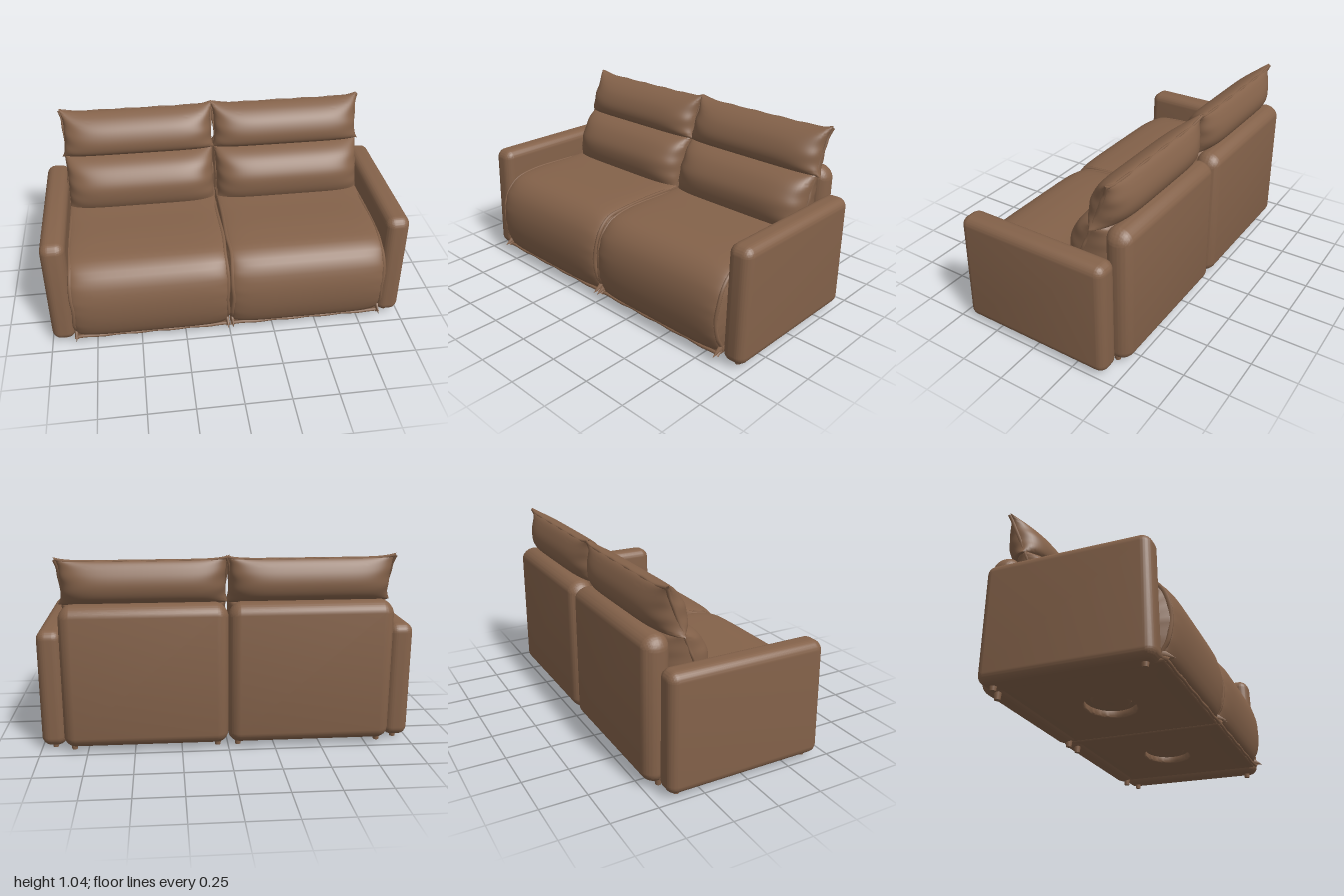
import * as THREE from 'three';
import { toCreasedNormals } from 'three/addons/utils/BufferGeometryUtils.js';
import { RoundedBoxGeometry } from 'three/addons/geometries/RoundedBoxGeometry.js';

const leather = new THREE.MeshStandardMaterial({ color: 0x84624a });
leather.name = 'brownLeather';

function add(parent, name, geometry, x = 0, y = 0, z = 0) {
  const mesh = new THREE.Mesh(geometry, leather);
  mesh.name = name;
  mesh.position.set(x, y, z);
  parent.add(mesh);
  return mesh;
}

// Moves every vertex by a rule
function bend(geometry, rule) {
  const pos = geometry.attributes.position;
  const v = new THREE.Vector3();
  for (let i = 0; i < pos.count; i++) {
    rule(v.fromBufferAttribute(pos, i));
    pos.setXYZ(i, v.x, v.y, v.z);
  }
  return toCreasedNormals(geometry, 0.8);
}

// Lofts a closed [z, y] profile over s = -1..1; shape(z, y, s, full) returns [x, y, z]
function cushion(profile, shape, steps = 44, around = 72) {
  const curve = new THREE.CatmullRomCurve3(profile.map(([z, y]) => new THREE.Vector3(0, y, z)), true);
  const ring = curve.getSpacedPoints(around);
  const position = [], index = [];
  for (let i = 0; i <= steps; i++) {
    const s = -Math.cos((Math.PI * i) / steps);
    const full = Math.sqrt(Math.max(0, 1 - Math.abs(s) ** 6));
    for (const p of ring) position.push(...shape(p.z, p.y, s, full));
  }
  const row = around + 1;
  for (let i = 0; i < steps; i++) {
    for (let j = 0; j < around; j++) {
      const a = i * row + j, b = a + row;
      index.push(a, b, a + 1, b, b + 1, a + 1);
    }
  }
  const geometry = new THREE.BufferGeometry();
  geometry.setAttribute('position', new THREE.Float32BufferAttribute(position, 3));
  geometry.setIndex(index);
  return toCreasedNormals(geometry, 0.8);
}

function piping(points, radius) {
  const curve = new THREE.CatmullRomCurve3(points.map((p) => new THREE.Vector3(...p)));
  return new THREE.TubeGeometry(curve, 80, radius, 6);
}

const seatProfile = [
  [0.40, 0.05], [0.46, 0.06], [0.495, 0.14], [0.508, 0.25], [0.497, 0.35], [0.46, 0.435],
  [0.385, 0.497], [0.25, 0.52], [0, 0.522], [-0.3, 0.51], [-0.37, 0.45], [-0.37, 0.14], [-0.3, 0.09], [0.3, 0.085],
];
const lowerProfile = [
  [-0.17, 0.46], [-0.11, 0.53], [-0.095, 0.6], [-0.105, 0.665], [-0.165, 0.745], [-0.24, 0.783],
  [-0.34, 0.792], [-0.41, 0.75], [-0.41, 0.5], [-0.30, 0.45],
];
const upperProfile = [
  [-0.28, 0.782], [-0.235, 0.81], [-0.225, 0.865], [-0.26, 0.945], [-0.33, 1.0], [-0.40, 1.013],
  [-0.445, 0.95], [-0.46, 0.88], [-0.44, 0.82], [-0.38, 0.78],
];

const seamZ = (y) => -0.25 - 0.405 * (y - 0.66);
const wrinkle = (y, s) => 0.004 * Math.sin(y * 75 + s * 4) * Math.abs(s) ** 8;

// Back pillows pinch to a slanted side seam, with flared corners
function pillowShape(y0, y1, flare, lift) {
  return (z, y, s, full) => {
    const v = (2 * (y - y0)) / (y1 - y0) - 1;
    const half = 0.426 + flare * v ** 4;
    const rise = lift * Math.abs(s) ** 8 * Math.max(0, v) ** 2;
    return [s * half, y + rise + wrinkle(y, s) * 0.4,
      THREE.MathUtils.lerp(seamZ(y), z, full) + wrinkle(y, s)];
  };
}

// Seat cushions round off towards an inset seam, then close across the side
function seatShape(z, y, s, full) {
  const edge = Math.abs(s) > 0.9999;
  const k = edge ? 0 : 0.915 + 0.085 * full;
  return [s * 0.43, 0.28 + (y - 0.28) * k, 0.06 + (z - 0.06) * k + (edge ? 0 : wrinkle(y, s))];
}

// Underside panel with an oval well
function basePanel() {
  const outline = new THREE.Shape();
  outline.moveTo(-0.415, -0.42).lineTo(0.415, -0.42).lineTo(0.415, 0.42).lineTo(-0.415, 0.42).closePath();
  const well = new THREE.Path();
  well.absellipse(0, 0, 0.17, 0.145, 0, Math.PI * 2, true);
  outline.holes.push(well);
  const geometry = new THREE.ExtrudeGeometry(outline, {
    depth: 0.03, bevelThickness: 0.012, bevelSize: 0.015, bevelSegments: 4, curveSegments: 32,
  });
  return toCreasedNormals(geometry.rotateX(-Math.PI / 2), 0.8);
}

function buildSection(side) {
  const section = new THREE.Group();
  section.name = side > 0 ? 'leftSection' : 'rightSection';
  section.position.x = side * 0.437;

  add(section, 'seatCushion', cushion(seatProfile, seatShape));
  add(section, 'lowerBackCushion', cushion(lowerProfile, pillowShape(0.45, 0.792, 0.008, 0)));
  add(section, 'upperBackCushion', cushion(upperProfile, pillowShape(0.78, 1.013, 0.02, 0.02)));

  // Padded back shell, bulging behind and sinking at its upper corners
  const shell = bend(new RoundedBoxGeometry(0.874, 0.782, 0.152, 8, 0.062), (v) => {
    const u = Math.abs(v.x) / 0.437, h = Math.abs(v.y) / 0.391;
    if (v.y > 0) v.y -= 0.03 * u ** 6 * h;
    if (v.z < 0) v.z += 0.01 * u ** 6 + 0.018 * h ** 5;
  });
  add(section, 'backShell', shell, 0, 0.417, -0.436);

  // Underside with a soft bulge inside the well
  add(section, 'basePanel', basePanel(), 0, 0.056, 0.01);
  const bulge = add(section, 'wellBulge', new THREE.SphereGeometry(0.12, 32, 16), 0, 0.085, 0.01);
  bulge.scale.set(1, 0.18, 0.85);

  // Piping along the side seams of seat and back, with a corner tab under the seat front
  for (const e of [-1, 1]) {
    const seat = seatProfile.slice(1, 10).map(([z, y], i) => [
      e * (0.423 + 0.004 * Math.sin(i * 2.3)), 0.28 + (y - 0.28) * 0.925, 0.06 + (z - 0.06) * 0.935]);
    add(section, 'seatPiping', piping([[e * 0.425, 0.05, 0.47], ...seat], 0.011));
    const back = [];
    for (let i = 0; i <= 12; i++) {
      const y = 0.48 + (0.545 * i) / 12;
      const flare = 0.02 * Math.max(0, (y - 0.88) / 0.14) ** 2;
      back.push([e * (0.423 + flare + 0.003 * Math.sin(i * 2.1)), y, seamZ(y)]);
    }
    add(section, 'backPiping', piping(back, 0.009));
    const tab = add(section, 'cornerTab', new THREE.ConeGeometry(0.025, 0.07, 8), e * 0.423, 0.068, 0.468);
    tab.rotation.x = 1.95;
    tab.scale.x = 0.5;
  }

  // Seams along the pillow top and the lower front edge
  const top = [], hem = [];
  for (let i = 0; i <= 16; i++) {
    const s = i / 8 - 1;
    top.push([s * 0.442, 1.008 + 0.018 * s ** 8 + 0.002 * Math.sin(i * 2), -0.398]);
    hem.push([s * 0.423, 0.053 + 0.003 * Math.sin(i * 1.7), 0.455]);
  }
  add(section, 'topPiping', piping(top, 0.008));
  add(section, 'frontHem', piping(hem, 0.009));
  return section;
}

export function createModel() {
  const model = new THREE.Group();
  model.name = 'twoSeatSofa';

  for (const side of [-1, 1]) {
    model.add(buildSection(side));

    // Arm, slightly slimmer at the upper front
    const arm = bend(new RoundedBoxGeometry(0.136, 0.636, 0.884, 8, 0.05), (v) => {
      if (v.z > 0) v.z -= 0.022 * Math.max(0, v.y / 0.318) ** 2;
      v.x *= 1 - 0.05 * (Math.abs(v.z) / 0.44) ** 6;
    });
    add(model, side > 0 ? 'leftArm' : 'rightArm', arm, side * 0.93, 0.34, 0.004);

    // Small tapered feet
    for (const [x, z] of [[0.93, 0.383], [0.93, -0.37], [0.825, -0.41], [0.055, -0.41]]) {
      add(model, 'foot', new THREE.CylinderGeometry(0.021, 0.015, 0.05, 14), side * x, 0.025, z);
    }
  }
  return model;
}
